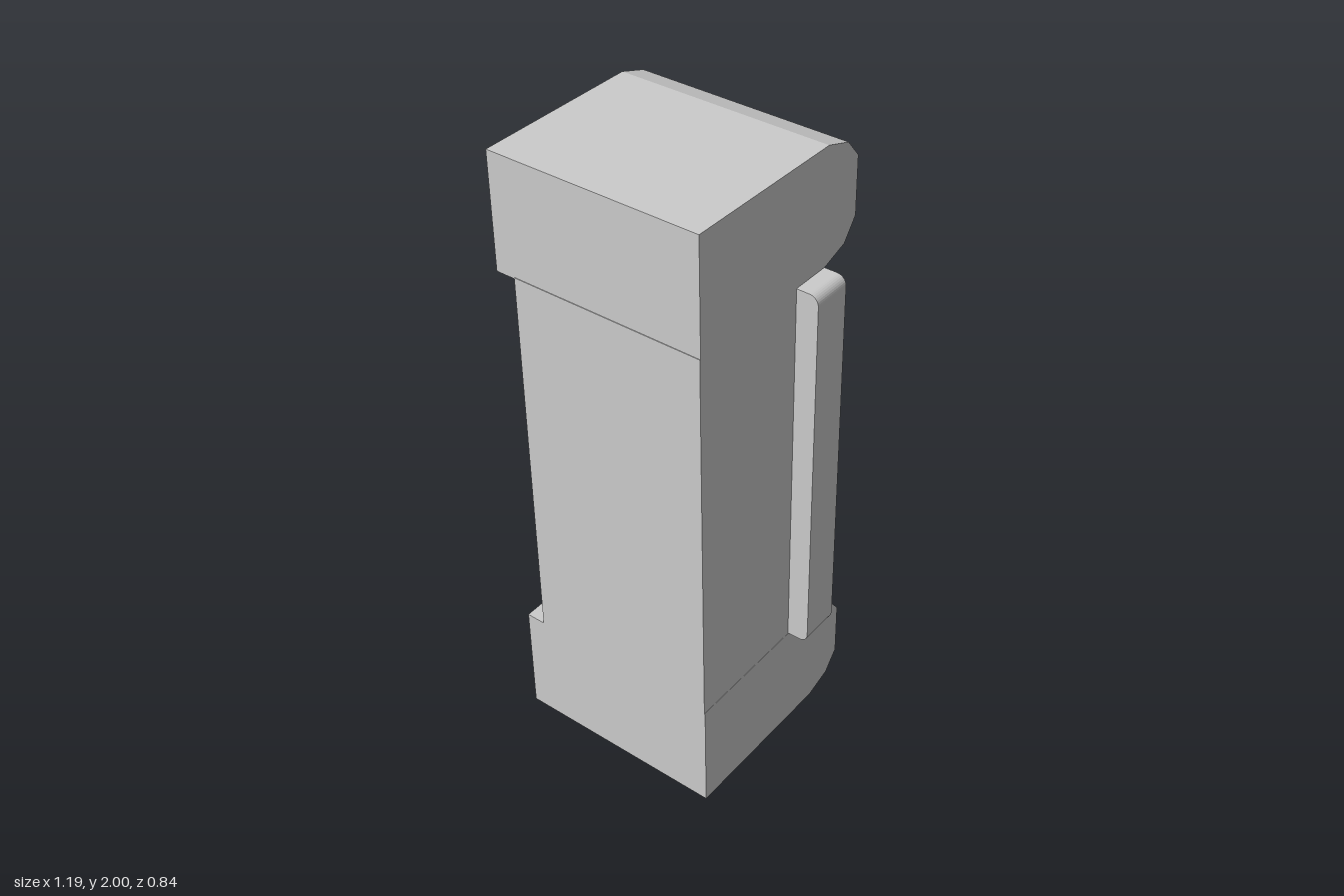
import * as THREE from 'three';

const material = new THREE.MeshStandardMaterial({ color: 0xcccccc, flatShading: true });
const MID = 1; // height of the mirror plane

function addMesh(group, name, geometry) {
  const mesh = new THREE.Mesh(geometry, material);
  mesh.name = name;
  group.add(mesh);
  return mesh;
}

// Arm with a bevelled nose, extruded front to back
function armGeometry(mirrored) {
  const profile = [
    [-0.595, 1.63], [-0.05, 1.63], [0.04, 1.66], [0.09, 1.725],
    [0.09, 1.91], [0.04, 1.97], [-0.05, 2], [-0.595, 2],
  ];
  const points = profile.map(([x, y]) => new THREE.Vector2(x, mirrored ? 2 * MID - y : y));
  const geometry = new THREE.ExtrudeGeometry(new THREE.Shape(points), { depth: 0.69, bevelEnabled: false });
  return geometry.translate(0, 0, -0.34);
}

// Upright plate whose two front corners are rounded, extruded sideways
function plateGeometry() {
  const back = -0.27, front = 0.42, low = 0.372, high = 1.628, r = 0.03;
  const shape = new THREE.Shape();
  shape.moveTo(back, low);
  shape.lineTo(front - r, low);
  shape.absarc(front - r, low + r, r, -Math.PI / 2, 0);
  shape.lineTo(front, high - r);
  shape.absarc(front - r, high - r, r, 0, Math.PI / 2);
  shape.lineTo(back, high);
  const geometry = new THREE.ExtrudeGeometry(shape, { depth: 0.13, bevelEnabled: false, curveSegments: 4 });
  return geometry.rotateY(-Math.PI / 2).translate(-0.05, 0, 0);
}

// Pointed wing: front and back outlines joined by a rim, each face a fan
function wingGeometry() {
  const rim = [[0.43, 1.71], [0.455, 1.7], [0.467, 1.675]];
  const outline = (rootX, rootZ, shift, z) => {
    const upper = [[rootX, 1.63, rootZ], ...rim.map(([x, y]) => [x + shift, y, z])];
    const lower = upper.map(([x, y, d]) => [x, 2 * MID - y, d]);
    return [...lower, [0.597 + shift, MID, z], ...upper.reverse()];
  };
  const front = outline(-0.05, -0.18, 0, -0.3);
  const back = outline(-0.18, -0.275, -0.023, -0.42);
  const rootMiddle = [-0.05, MID, -0.185];
  const count = front.length, tip = back[(count - 1) / 2];
  const corners = [];
  for (let i = 0; i < count; i++) {
    const j = (i + 1) % count;
    corners.push(front[i], back[i], back[j], front[i], back[j], front[j]);
    if (j > 0) corners.push(rootMiddle, front[i], front[j]);
    corners.push(tip, back[j], back[i]);
  }
  const geometry = new THREE.BufferGeometry();
  geometry.setAttribute('position', new THREE.Float32BufferAttribute(corners.flat(), 3));
  geometry.computeVertexNormals();
  return geometry;
}

export function createModel() {
  const model = new THREE.Group();
  model.name = 'bracketWithWing';

  addMesh(model, 'upperArm', armGeometry(false));
  addMesh(model, 'lowerArm', armGeometry(true));

  // Spine between the arms, set in slightly at the back
  const spine = new THREE.BoxGeometry(0.427, 1.27, 0.624);
  addMesh(model, 'spine', spine.translate(-0.3835, MID, 0.037));

  addMesh(model, 'frontPlate', plateGeometry());
  addMesh(model, 'sideWing', wingGeometry());

  return model;
}
